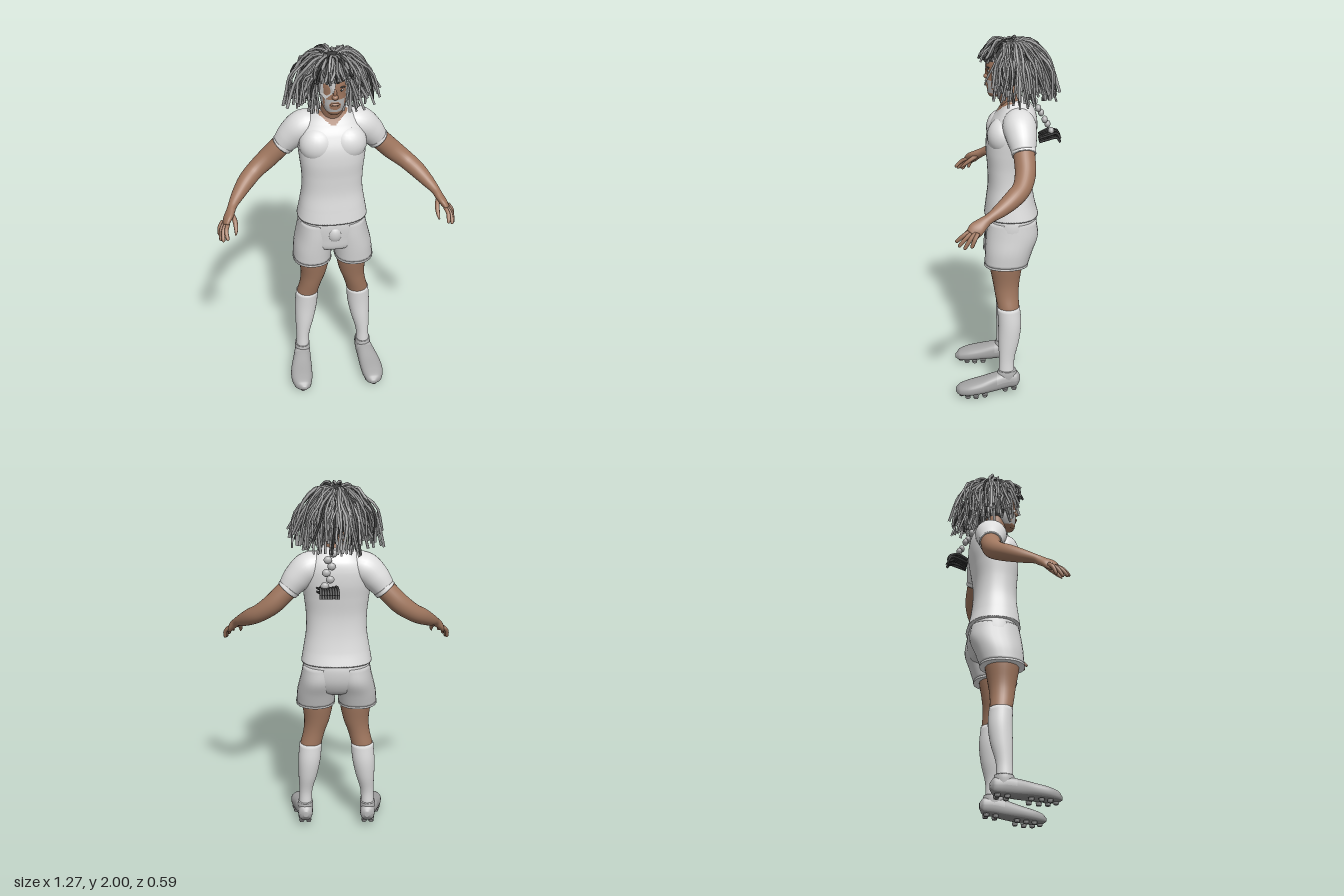
import * as THREE from 'three';
import { mergeGeometries } from 'three/addons/utils/BufferGeometryUtils.js';

const mat = (name, color) => {
  const m = new THREE.MeshStandardMaterial({ color });
  m.name = name;
  return m;
};
const V = (x, y, z) => new THREE.Vector3(x, y, z);
const X = V(1, 0, 0), Y = V(0, 1, 0), Z = V(0, 0, 1), DOWN = V(0, -1, 0);

// Smooth loft through sections [x, y, z, radiusU, radiusV]; paint() picks a material slot per quad
function loft(sections, { ref = X, axis = null, p = 2, segs = 28, steps = 5, paint = () => 0 } = {}) {
  const path = new THREE.CatmullRomCurve3(sections.map(s => V(s[0], s[1], s[2])));
  const radii = new THREE.CatmullRomCurve3(sections.map(s => V(s[3], s[4], 0)), false, 'catmullrom', 0.5);
  const rings = (sections.length - 1) * steps, pos = [], buckets = [[], [], []];
  const pow = c => Math.sign(c) * Math.abs(c) ** (2 / p);
  for (let i = 0; i <= rings; i++) {
    const c = path.getPoint(i / rings), r = radii.getPoint(i / rings);
    const t = axis || path.getTangent(i / rings);
    const u = ref.clone().addScaledVector(t, -ref.dot(t)).normalize();
    const v = t.clone().cross(u);
    for (let j = 0; j < segs; j++) {
      const a = j / segs * Math.PI * 2;
      const q = c.clone().addScaledVector(u, r.x * pow(Math.cos(a))).addScaledVector(v, r.y * pow(Math.sin(a)));
      pos.push(q.x, q.y, q.z);
    }
  }
  for (let i = 0; i < rings; i++) for (let j = 0; j < segs; j++) {
    const k = (j + 1) % segs, a = i * segs + j, b = i * segs + k, c = a + segs, d = b + segs;
    const mid = n => (pos[a * 3 + n] + pos[d * 3 + n]) / 2;
    buckets[paint(mid(0), mid(1), mid(2), Math.sin((j + 0.5) / segs * Math.PI * 2))].push(a, b, c, b, d, c);
  }
  const first = sections[0].slice(0, 3), last = sections.at(-1).slice(0, 3), n = pos.length / 3;
  pos.push(...first, ...last);
  for (let j = 0; j < segs; j++) {
    const k = (j + 1) % segs, e = rings * segs;
    buckets[paint(...first, 0)].push(n, k, j);
    buckets[paint(...last, 0)].push(n + 1, e + j, e + k);
  }
  const g = new THREE.BufferGeometry();
  g.setAttribute('position', new THREE.Float32BufferAttribute(pos, 3));
  g.setIndex(buckets.flat());
  let start = 0;
  buckets.forEach((b, i) => { if (b.length) g.addGroup(start, b.length, i); start += b.length; });
  g.computeVertexNormals();
  return g;
}

export function createModel() {
  const root = new THREE.Group();
  root.name = 'footballer';
  const skin = mat('skin', 0xa0775f), shirt = mat('shirt white', 0xdedede), shorts = mat('shorts grey', 0xcccccc);
  const trim = mat('trim white', 0xf4f4f4), shoe = mat('shoe grey', 0xa6a6a6), sole = mat('sole grey', 0x8c8c8c);
  const beard = mat('beard grey', 0xb4b4b4), hair = mat('hair grey', 0x9c9c9c), dark = mat('dark hair', 0x3c3c3c);
  const add = (name, geo, material, parent = root) => {
    const m = new THREE.Mesh(geo, material);
    m.name = name;
    parent.add(m);
    return m;
  };
  const ball = (name, material, x, y, z, sx, sy, sz) => {
    const m = add(name, new THREE.SphereGeometry(1, 24, 16), material);
    m.position.set(x, y, z);
    m.scale.set(sx, sy, sz);
  };

  // Shirt body with a V neckline
  add('shirt', loft([
    [0, 1.03, -.027, .192, .147], [0, 1.10, -.022, .18, .133], [0, 1.2, -.02, .165, .12], [0, 1.3, -.017, .165, .12],
    [0, 1.4, -.02, .176, .13], [0, 1.48, -.03, .183, .133], [0, 1.55, -.045, .178, .12], [0, 1.6, -.055, .15, .10],
    [0, 1.64, -.053, .11, .076], [0, 1.665, -.045, .075, .058],
  ], { axis: Y, p: 2.4, segs: 96, steps: 10, paint: (x, y, z) => z > -.03 && y > 1.594 + Math.abs(x) * .75 ? 1 : 0 }), [shirt, skin]);
  for (const s of [-1, 1]) ball('chest', shirt, s * .08, 1.485, .02, .1, .1, .085);

  // Shorts seat and front
  add('shortsSeat', loft([
    [0, 1.06, -.027, .165, .12], [0, 1.0, -.028, .184, .138], [0, .93, -.025, .19, .14], [0, .87, -.012, .165, .125], [0, .84, -.01, .08, .08],
  ], { axis: DOWN, p: 2.3, segs: 40 }), shorts);
  ball('shortsFront', shorts, 0, .955, .085, .046, .055, .04);

  // Neck and head, with painted scalp and beard
  add('neck', loft([[0, 1.56, -.04, .07, .065], [0, 1.62, -.035, .064, .06], [0, 1.68, -.015, .058, .058], [0, 1.74, -.01, .058, .06]], { axis: Y }), skin);
  add('head', loft([
    [0, 1.685, .06, .028, .03], [0, 1.70, .05, .045, .048], [0, 1.74, .03, .064, .073], [0, 1.80, .008, .074, .093],
    [0, 1.86, 0, .08, .103], [0, 1.92, -.01, .074, .094], [0, 1.96, -.015, .055, .07], [0, 1.985, -.015, .012, .015],
  ], {
    axis: Y, p: 2.2, segs: 72, steps: 10,
    paint: (x, y, z) => {
      if (y > 1.895 || (z < .01 && y > 1.72)) return 2;
      const goatee = y < 1.775 && y > 1.705 && Math.hypot(x / .042, (y - 1.742) / .032) > .75 && Math.abs(x) < .05;
      return z < .068 && z > .005 && y > 1.7 || goatee ? 1 : 0;
    },
  }), [skin, beard, dark]);
  ball('nose', skin, 0, 1.79, .101, .017, .014, .018);
  ball('noseBridge', skin, 0, 1.812, .098, .009, .026, .012);
  ball('lips', skin, 0, 1.748, .101, .024, .009, .009);
  ball('mouthLine', dark, 0, 1.748, .108, .018, .0015, .003);
  ball('leftEye', trim, .032, 1.825, .092, .013, .006, .006);
  ball('leftPupil', dark, .032, 1.825, .097, .005, .005, .003);
  ball('leftBrow', dark, .034, 1.843, .094, .02, .004, .006);
  // Patch over the right eye
  const patch = new THREE.Shape([[-.074, 1.80], [-.05, 1.775], [-.008, 1.82], [.004, 1.87], [-.03, 1.88], [-.07, 1.865]].map(q => new THREE.Vector2(...q)));
  const patchGeo = new THREE.ExtrudeGeometry(patch, { depth: .007, bevelEnabled: false });
  const pp = patchGeo.attributes.position;
  for (let i = 0; i < pp.count; i++) pp.setZ(i, pp.getZ(i) + .103 - 9 * pp.getX(i) ** 2);
  patchGeo.computeVertexNormals();
  add('eyePatch', patchGeo, shorts);

  for (const s of [-1, 1]) {
    const side = new THREE.Group();
    side.name = s > 0 ? 'leftLimbs' : 'rightLimbs';
    root.add(side);
    const part = (name, sections, material, opts) =>
      add(name, loft(sections.map(([x, ...r]) => [x * s, ...r]), opts), material, side);

    // Sleeve, cuff and arm
    part('sleeve', [[.05, 1.575, -.06, .06, .06], [.14, 1.56, -.062, .088, .083], [.205, 1.505, -.072, .079, .077], [.254, 1.445, -.08, .062, .06]], shirt, { ref: Z });
    part('cuff', [[.245, 1.454, -.079, .065, .063], [.261, 1.436, -.081, .063, .061]], trim, { ref: Z });
    part('arm', [
      [.2, 1.5, -.075, .055, .055], [.27, 1.43, -.082, .056, .055], [.34, 1.36, -.083, .054, .054], [.41, 1.305, -.06, .049, .048],
      [.46, 1.27, -.015, .047, .045], [.51, 1.23, .05, .037, .035], [.545, 1.2, .108, .026, .024], [.56, 1.18, .14, .032, .022],
      [.578, 1.158, .172, .04, .02], [.592, 1.135, .195, .034, .014],
    ], skin, { ref: Z });
    // Fingers fan out from the palm, thumb in front
    [[.585, 1.09, .275], [.608, 1.075, .262], [.62, 1.066, .235], [.625, 1.075, .2]].forEach(([x, y, z], i) => {
      const f = i / 3, k = V(.578 + f * .024, 1.148 - f * .004, .205 - f * .04);
      part('finger', [[k.x, k.y, k.z, .011, .011], [(k.x + x) / 2 + .008, (k.y + y) / 2 + .008, (k.z + z) / 2, .011, .011],
        [x, y + .006, z - .003, .009, .009], [x, y, z, .003, .003]], skin, { segs: 8, steps: 3 });
    });
    part('thumb', [[.555, 1.175, .14, .012, .012], [.54, 1.15, .185, .013, .013], [.538, 1.12, .225, .010, .010], [.542, 1.1, .245, .004, .004]], skin, { segs: 8, steps: 3 });

    // Shorts leg, hem, leg and sock
    part('shortsLeg', [[.09, 1.01, -.03, .09, .13], [.098, .93, -.028, .1, .141], [.11, .85, -.01, .106, .13], [.116, .775, .004, .106, .119]], shorts, { axis: DOWN, p: 2.2 });
    part('shortsHem', [[.116, .778, .004, .108, .121], [.116, .766, .005, .108, .121]], trim, { axis: DOWN, p: 2.2 });
    part('leg', [[.104, .85, .005, .09, .092], [.105, .77, .006, .088, .092], [.11, .66, .005, .071, .074], [.125, .59, .002, .061, .065], [.145, .51, -.007, .059, .059], [.152, .45, -.01, .05, .055]], skin, { axis: DOWN });
    part('sock', [
      [.145, .52, -.007, .063, .063], [.153, .42, -.013, .063, .064], [.163, .32, -.007, .053, .058], [.175, .22, .004, .038, .044],
      [.178, .15, .006, .037, .043], [.18, .09, .005, .04, .045],
    ], shirt, { axis: DOWN });

    // Shoe with pale heel, collar, sole and studs
    part('shoe', [
      [.175, .09, -.07, .012, .016], [.178, .088, -.052, .037, .042], [.18, .087, 0, .044, .05], [.19, .076, .07, .052, .05],
      [.202, .061, .15, .061, .042], [.207, .049, .22, .059, .036], [.205, .04, .27, .042, .027], [.2, .035, .293, .012, .01],
    ], [shoe, sole, beard], { axis: Z, p: 2.5, steps: 8, paint: (x, y, z, v) => v < -.55 ? 1 : z < .06 && y > .085 ? 2 : 0 });
    part('shoeCollar', [[.18, .09, .005, .043, .055], [.18, .125, .004, .044, .055], [.179, .147, .002, .042, .05]], beard, { axis: Y });
    for (const [x, y, z] of [[.16, .035, -.035], [.2, .035, -.035], [.16, .03, .015], [.205, .03, .015], [.165, .012, .13], [.235, .012, .13],
      [.168, .008, .18], [.245, .008, .18], [.175, .007, .225], [.238, .007, .225], [.207, .007, .26]]) {
      const stud = add('stud', new THREE.CylinderGeometry(.016, .013, .016, 8), sole, side);
      stud.position.set(x * s, y + .002, z);
    }
  }

  // Dreadlocks: fan out from the crown and droop, short over the face
  let seed = 7;
  const rnd = () => (seed = (seed * 16807) % 2147483647) / 2147483647;
  const strand = (pts, r) => new THREE.TubeGeometry(new THREE.CatmullRomCurve3(pts), 9, r, 5);
  const mid = [], deep = [];
  for (let i = 0; i < 230; i++) {
    const a = (i * .61803 % 1) * Math.PI * 2, c = Math.cos(a), k = .42 + .58 * rnd();
    const front = c > .7;
    const R = (c > 0 ? .25 - .11 * c : .25 - .025 * c) * (front ? .85 + .2 * rnd() : k);
    const end = front ? 1.872 + rnd() * .04 : 1.62 + rnd() * .1 + k * .05 + (c > 0 ? .03 : 0);
    const top = 1.955 + rnd() * .03 - (1 - k) * .05;
    const at = (f, y, w) => V(Math.sin(a) * R * f + (rnd() - .5) * w, y, -.02 + c * R * f + (rnd() - .5) * w);
    const pts = front
      ? [at(.1, 1.965, .03), at(.5, top + .01, .03), at(.85, 1.93, .03), at(1, end, .04)]
      : [at(.1, 1.965, .04), at(.36, top + .005, .03), at(.64, top - .05, .035), at(.85, (top + end) / 2 + .01, .04), at(1, end, .05)];
    (front ? i % 2 === 0 : i % 9 === 0) ? deep.push(strand(pts, .007)) : mid.push(strand(pts, .0055 + rnd() * .003));
  }
  add('dreadlocks', mergeGeometries(mid), hair);
  add('darkDreadlocks', mergeGeometries(deep), dark);

  // Tied tail down the back, ending in a dark bundle
  for (let i = 0; i < 6; i++) {
    const f = i / 5;
    ball('tailKnot', beard, .03 + .02 * f + (i % 2 ? .012 : -.012), 1.655 - .15 * f, -.15 - .085 * f, .022, .02, .016);
  }
  const bundle = [];
  for (let i = 0; i < 16; i++) {
    const x = (i % 8) * .013, y = 1.455 + (i > 7 ? .02 : 0);
    bundle.push(strand([V(x + .01, y, -.17), V(x, y + .012 + rnd() * .012, -.225), V(x - .008, y + .01 + rnd() * .012, -.265), V(x - .01, y - .008, -.283)], .007));
  }
  add('tailBundle', mergeGeometries(bundle), dark);
  return root;
}
